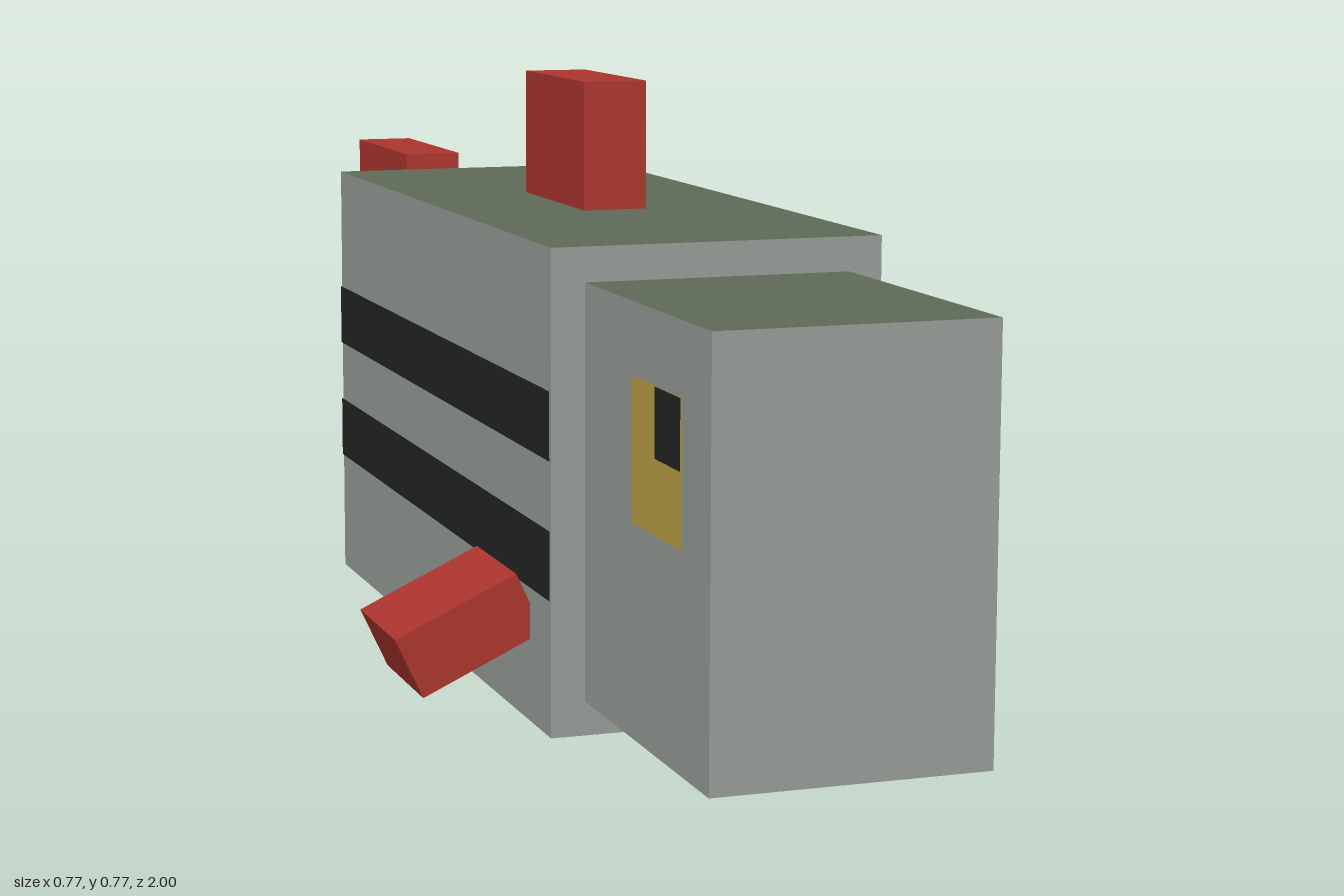
import * as THREE from 'three';

const mat = (name, color) => {
  const m = new THREE.MeshStandardMaterial({ color });
  m.name = name;
  return m;
};

export function createModel() {
  const grey = mat('scale grey', 0x979c97);
  const olive = mat('back olive', 0x5f6957);
  const red = mat('fin red', 0xab342d);
  const black = mat('stripe black', 0x232424);
  const gold = mat('eye gold', 0xbaa144);
  const fish = new THREE.Group();
  fish.name = 'fish';

  // Box from its half width and its y and z ranges
  const block = (name, hx, [y0, y1], [z0, z1], material) => {
    const mesh = new THREE.Mesh(new THREE.BoxGeometry(hx * 2, y1 - y0, z1 - z0), material);
    mesh.position.set(0, (y0 + y1) / 2, (z0 + z1) / 2);
    mesh.name = name;
    fish.add(mesh);
  };

  // Grey body blocks with olive tops
  const skin = [grey, grey, olive, grey, grey, grey];
  block('body', 0.213, [0, 0.598], [-0.447, 0.575], skin);
  block('head', 0.17, [0.043, 0.555], [0.575, 1], skin);
  block('tailBase', 0.085, [0.128, 0.47], [-0.702, -0.447], skin);
  block('dorsalFin', 0.043, [0.598, 0.767], [-0.065, 0.19], red);

  // Forked tail fin, drawn in the z-y plane
  const fork = new THREE.Shape([
    [0.702, 0], [1, 0], [1, 0.213], [0.83, 0.213],
    [0.83, 0.385], [1, 0.385], [1, 0.598], [0.702, 0.598],
  ].map(([z, y]) => new THREE.Vector2(z, y)));
  const tail = new THREE.Mesh(
    new THREE.ExtrudeGeometry(fork, { depth: 0.086, bevelEnabled: false }).translate(0, 0, -0.043),
    red,
  );
  tail.rotation.y = Math.PI / 2;
  tail.name = 'tailFin';
  fish.add(tail);

  for (const side of [1, -1]) {
    const label = side > 0 ? 'left' : 'right';

    // Flat painted marking on the flank
    const marking = (name, x, [y0, y1], [z0, z1], material) => {
      const mesh = new THREE.Mesh(new THREE.PlaneGeometry(z1 - z0, y1 - y0), material);
      mesh.rotation.y = side * Math.PI / 2;
      mesh.position.set(side * x, (y0 + y1) / 2, (z0 + z1) / 2);
      mesh.name = label + name;
      fish.add(mesh);
    };
    marking('UpperStripe', 0.215, [0.341, 0.426], [-0.447, 0.575], black);
    marking('LowerStripe', 0.215, [0.17, 0.256], [-0.447, 0.575], black);
    marking('Eye', 0.172, [0.299, 0.47], [0.75, 0.915], gold);
    marking('Pupil', 0.174, [0.388, 0.47], [0.832, 0.915], black);

    // Drooping side fin
    const fin = new THREE.Mesh(new THREE.BoxGeometry(0.17, 0.083, 0.17), red);
    fin.position.set(side * 0.29, 0.1135, 0.405);
    fin.rotation.z = -side * THREE.MathUtils.degToRad(25);
    fin.name = label + 'SideFin';
    fish.add(fin);
  }
  return fish;
}
